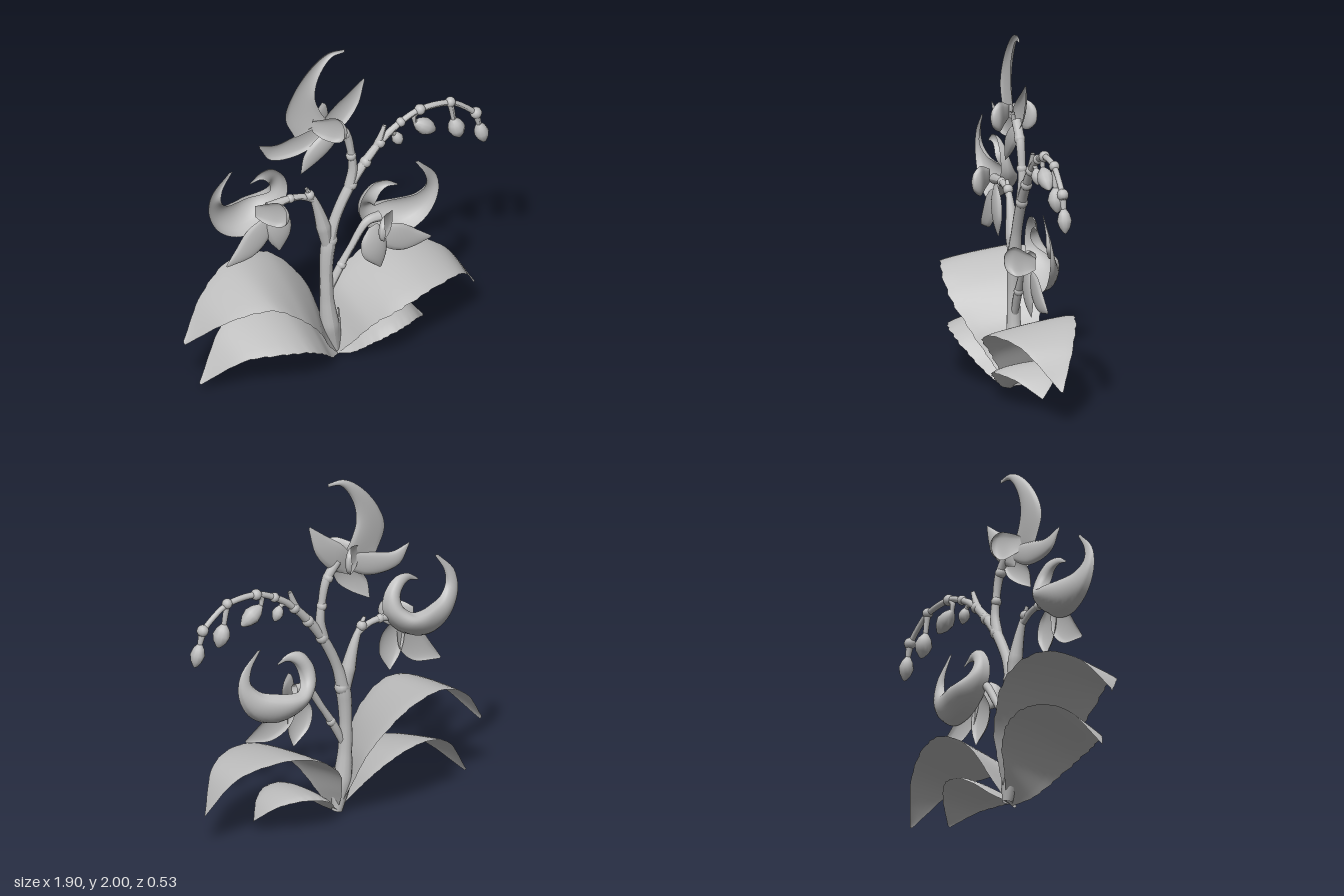
import * as THREE from 'three';

const grey = new THREE.MeshStandardMaterial({ color: 0xbebebe, side: THREE.DoubleSide });
grey.name = 'stone grey';
const Z = -0.035; // plane of the stems and flowers

const curve = pts => new THREE.CatmullRomCurve3(
  pts.map(([x, y, z = Z]) => new THREE.Vector3(x, y, z)), false, 'centripetal');

function add(parent, name, geometry) {
  const mesh = new THREE.Mesh(geometry, grey);
  mesh.name = name;
  parent.add(mesh);
  return mesh;
}

// Surface spanning two edge curves; its middle is pushed along `bulge` (a higher
// `power` gathers the bulge halfway along), its rim may be toothed
function blade(parent, name, edgeA, edgeB, bulge, { tooth = 0, power = 0.8 } = {}) {
  const a = curve(edgeA), b = curve(edgeB), n = 48, m = 12;
  const push = new THREE.Vector3(...bulge), p = new THREE.Vector3();
  const geo = new THREE.PlaneGeometry(1, 1, m, n), pos = geo.attributes.position;
  for (let i = 0; i <= n; i++) {
    const t = i / n, A = a.getPoint(t), B = b.getPoint(t);
    const rim = 1 - tooth * ((i * 5) % 7) / 7;
    const swell = Math.pow(Math.max(0, Math.sin(Math.PI * t)), power);
    for (let j = 0; j <= m; j++) {
      const u = j / m, v = 0.5 + (u - 0.5) * rim;
      p.lerpVectors(A, B, v).addScaledVector(push, Math.sqrt(Math.max(0, 1 - (2 * u - 1) ** 2)) * swell);
      pos.setXYZ(i * (m + 1) + j, p.x, p.y, p.z);
    }
  }
  geo.computeVertexNormals();
  return add(parent, name, geo);
}

// Tube whose radius follows a list of values along its length
function stem(parent, name, pts, radii) {
  const path = curve(pts), n = pts.length * 6, sides = 12;
  const geo = new THREE.TubeGeometry(path, n, 1, sides, false), pos = geo.attributes.position;
  const v = new THREE.Vector3();
  for (let i = 0; i <= n; i++) {
    const c = path.getPointAt(i / n), f = (i / n) * (radii.length - 1);
    const k = Math.min(Math.floor(f), radii.length - 2);
    const r = THREE.MathUtils.lerp(radii[k], radii[k + 1], f - k);
    for (let j = 0; j <= sides; j++) {
      const id = i * (sides + 1) + j;
      v.fromBufferAttribute(pos, id).sub(c).multiplyScalar(r).add(c);
      pos.setXYZ(id, v.x, v.y, v.z);
    }
  }
  geo.computeVertexNormals();
  add(parent, name, geo);
}

function knot(parent, x, y, r) {
  add(parent, 'stemNode', new THREE.SphereGeometry(r, 12, 8)).position.set(x, y, Z);
}

// Pointed bud hanging from (x, y)
function bud(parent, x, y, length, radius, tilt) {
  const profile = [[0, 0], [0.3, -0.06], [0.75, -0.25], [1, -0.5], [0.75, -0.75], [0.3, -0.94], [0, -1]]
    .map(([r, h]) => new THREE.Vector2(r * radius, h * length)).reverse();
  const mesh = add(parent, 'bud', new THREE.LatheGeometry(profile, 12));
  mesh.position.set(x, y, Z);
  mesh.rotation.z = tilt;
}

// Rounded, cupped petal spreading sideways from a hinge at (x, y) to a depth of `reach`
function wing(parent, name, x, y, reach) {
  const at = ([dx, dy, f]) => [x + dx, y + dy, Z + f * reach];
  blade(parent, name,
    [[0, 0.035, 0], [0.04, 0.06, 0.3], [0.1, 0.078, 0.65], [0.12, 0.045, 0.92], [0.12, 0, 1]].map(at),
    [[0, -0.035, 0], [0.04, -0.07, 0.3], [0.1, -0.088, 0.6], [0.12, -0.055, 0.9], [0.12, 0, 1]].map(at),
    [0.035, 0, 0]);
}

// Side flower: crescent hood, forward lip and two hanging petals
function sideFlower(name, petalTurn) {
  const g = new THREE.Group();
  g.name = name;
  blade(g, 'crescentHood',
    [[-0.66, 1.4], [-0.77, 1.28], [-0.785, 1.15], [-0.72, 1.02], [-0.6, 0.95], [-0.48, 0.96], [-0.37, 1.03],
      [-0.3, 1.14], [-0.31, 1.25], [-0.38, 1.33], [-0.46, 1.335], [-0.53, 1.29]],
    [[-0.64, 1.4], [-0.7, 1.3], [-0.71, 1.22], [-0.66, 1.16, -0.06], [-0.58, 1.14, -0.09], [-0.5, 1.13, -0.115], [-0.44, 1.13, -0.11],
      [-0.4, 1.17, -0.06], [-0.4, 1.22], [-0.43, 1.27], [-0.47, 1.29], [-0.53, 1.28]],
    [0, 0, -0.09], { power: 1.5 });
  wing(g, 'lip', -0.5, 1.09, 0.145);
  const petals = new THREE.Group();
  petals.name = 'hangingPetals';
  petals.position.set(-0.42, 1.02, 0);
  petals.rotation.z = petalTurn;
  g.add(petals);
  blade(petals, 'outerPetal', [[0, 0.02], [-0.12, -0.04], [-0.2, -0.15], [-0.26, -0.24]],
    [[0.03, -0.02], [0.01, -0.13], [-0.08, -0.22], [-0.25, -0.25]], [0, 0, 0.02]);
  blade(petals, 'innerPetal', [[0, 0.05], [-0.02, -0.06], [0.01, -0.16], [0.07, -0.24]],
    [[0.06, 0.05], [0.13, -0.02], [0.145, -0.12], [0.08, -0.24]], [0, 0, 0.03]);
  return g;
}

export function createModel() {
  const plant = new THREE.Group();
  plant.name = 'orchidPlant';

  // Arching leaves: back edge, front edge
  const crown = [0, 0.015, 0], toothed = { tooth: 0.05, power: 1.5 };
  blade(plant, 'largeLeftLeaf',
    [[0, 0.02, -0.04], [-0.04, 0.2, -0.13], [-0.1, 0.4, -0.21], [-0.3, 0.62, -0.27], [-0.55, 0.675, -0.23], [-0.78, 0.57, -0.14], [-0.945, 0.36, -0.04]],
    [[0, 0, 0], [-0.1, 0.13, 0.08], [-0.2, 0.3, 0.18], [-0.34, 0.47, 0.26], [-0.53, 0.6, 0.25], [-0.74, 0.55, 0.16], [-0.94, 0.34, -0.03]],
    crown, toothed);
  blade(plant, 'largeRightLeaf',
    [[0, 0.02, -0.04], [0.03, 0.15, -0.13], [0.1, 0.33, -0.22], [0.27, 0.455, -0.26], [0.46, 0.49, -0.24], [0.72, 0.41, -0.15], [0.875, 0.18, -0.04]],
    [[0, 0, 0], [0.06, 0.1, 0.07], [0.14, 0.24, 0.16], [0.27, 0.36, 0.25], [0.46, 0.42, 0.24], [0.7, 0.39, 0.14], [0.865, 0.18, -0.03]],
    crown, toothed);
  blade(plant, 'smallLeftLeaf',
    [[0, 0.02, -0.04], [-0.08, 0.15, -0.12], [-0.16, 0.27, -0.2], [-0.29, 0.36, -0.24], [-0.46, 0.385, -0.22], [-0.66, 0.31, -0.14], [-0.85, 0.06, -0.03]],
    [[0, 0, 0], [-0.08, 0.05, 0.09], [-0.17, 0.15, 0.18], [-0.3, 0.24, 0.24], [-0.46, 0.27, 0.23], [-0.64, 0.23, 0.13], [-0.845, 0.05, -0.02]],
    crown, toothed);
  blade(plant, 'smallRightLeaf',
    [[0, 0.02, -0.04], [0.06, 0.07, -0.11], [0.13, 0.14, -0.18], [0.22, 0.19, -0.22], [0.34, 0.21, -0.21], [0.45, 0.175, -0.14], [0.545, 0.075, -0.03]],
    [[0, 0, 0], [0.06, 0.03, 0.07], [0.13, 0.09, 0.13], [0.22, 0.15, 0.18], [0.33, 0.17, 0.17], [0.44, 0.15, 0.1], [0.54, 0.065, -0.02]],
    [0, 0.03, 0], toothed);

  // Main stem arching into the bud spray
  stem(plant, 'mainStem',
    [[0, 0.015], [-0.035, 0.2], [-0.055, 0.45], [-0.045, 0.7], [0, 0.88], [0.08, 1.05], [0.17, 1.18], [0.3, 1.32], [0.42, 1.4],
      [0.53, 1.44], [0.72, 1.425], [0.82, 1.36], [0.9, 1.28]],
    [0.03, 0.055, 0.04, 0.036, 0.042, 0.03, 0.03, 0.027, 0.022, 0.018, 0.018, 0.016, 0.016]);
  for (const [x, y, r] of [[-0.03, 0.75, 0.042], [0.1, 1.08, 0.036], [0.19, 1.2, 0.034], [0.28, 1.3, 0.032], [0.41, 1.395, 0.028],
    [0.53, 1.44, 0.032], [0.72, 1.43, 0.03], [0.88, 1.305, 0.034]]) knot(plant, x, y, r);
  for (const [x, y, len, r, tilt] of [[0.37, 1.34, 0.1, 0.034, 0.4], [0.49, 1.37, 0.17, 0.05, 0.95],
    [0.735, 1.32, 0.15, 0.05, 0.3], [0.895, 1.24, 0.15, 0.042, 0.25]]) bud(plant, x, y, len, r, tilt);

  // Bud stalks, branches and bracts
  stem(plant, 'budStalk', [[0.33, 1.34], [0.36, 1.34], [0.375, 1.32]], [0.015, 0.012]);
  stem(plant, 'budStalk', [[0.53, 1.44], [0.495, 1.41], [0.5, 1.36]], [0.018, 0.012]);
  stem(plant, 'budStalk', [[0.72, 1.42], [0.73, 1.37], [0.74, 1.31]], [0.018, 0.014]);
  stem(plant, 'budStalk', [[0.88, 1.3], [0.89, 1.26], [0.9, 1.22]], [0.022, 0.014]);
  stem(plant, 'upperBranch', [[0.09, 1.07], [0.11, 1.18], [0.1, 1.29], [0.07, 1.42], [0, 1.52]], [0.032, 0.026, 0.022, 0.026, 0.028]);
  stem(plant, 'leftBranch', [[-0.045, 0.7], [-0.08, 0.88], [-0.125, 1.03], [-0.18, 1.14]], [0.03, 0.042, 0.026, 0.01]);
  stem(plant, 'leftFlowerStalk', [[-0.13, 1.05], [-0.2, 1.09], [-0.28, 1.105], [-0.42, 1.09]], [0.02, 0.018, 0.022, 0.03]);
  stem(plant, 'rightBranch', [[-0.045, 0.4], [0.02, 0.53], [0.1, 0.66], [0.2, 0.8], [0.28, 0.81]], [0.02, 0.024, 0.02, 0.022, 0.03]);
  stem(plant, 'upperBract', [[0.26, 1.28], [0.29, 1.35], [0.31, 1.405]], [0.024, 0.018, 0.012]);
  stem(plant, 'lowerBract', [[0, 0.05], [0.01, 0.16], [0.02, 0.28]], [0.03, 0.025, 0.005]);
  for (const [x, y, r] of [[0.06, 1.43, 0.032], [0.1, 1.27, 0.03], [-0.16, 1.09, 0.03], [-0.28, 1.105, 0.026], [0.04, 0.56, 0.028]])
    knot(plant, x, y, r);

  // Side flowers, one mirrored
  plant.add(sideFlower('leftFlower', 0));
  const right = sideFlower('rightFlower', -0.32);
  right.scale.x = -1;
  right.position.set(-0.14, -0.3, 0);
  plant.add(right);

  // Top flower
  const top = new THREE.Group();
  top.name = 'topFlower';
  plant.add(top);
  blade(top, 'tallPetal', [[0.06, 1.995], [-0.04, 1.997], [-0.15, 1.93], [-0.27, 1.78], [-0.31, 1.65], [-0.25, 1.5]],
    [[0.06, 1.975], [-0.02, 1.965], [-0.1, 1.86], [-0.125, 1.73], [-0.09, 1.62], [-0.04, 1.54]], [0, 0, -0.025]);
  blade(top, 'leftPetal', [[-0.475, 1.52], [-0.36, 1.49], [-0.22, 1.52], [-0.03, 1.56]],
    [[-0.47, 1.5], [-0.4, 1.4], [-0.2, 1.385], [0, 1.5]], [0, 0, -0.025]);
  blade(top, 'rightPetal', [[0.18, 1.765], [0.08, 1.69], [-0.03, 1.61], [-0.1, 1.53]],
    [[0.185, 1.75], [0.14, 1.59], [0.05, 1.48], [-0.07, 1.42]], [0, 0, -0.025]);
  blade(top, 'lowerPetal', [[0, 1.5], [-0.1, 1.46], [-0.19, 1.37], [-0.215, 1.245]],
    [[0.04, 1.48], [0, 1.39], [-0.08, 1.32], [-0.2, 1.25]], [0, 0, 0.025]);
  wing(top, 'frontWing', -0.14, 1.54, 0.145);
  wing(top, 'backWing', -0.14, 1.54, -0.125);

  return plant;
}
